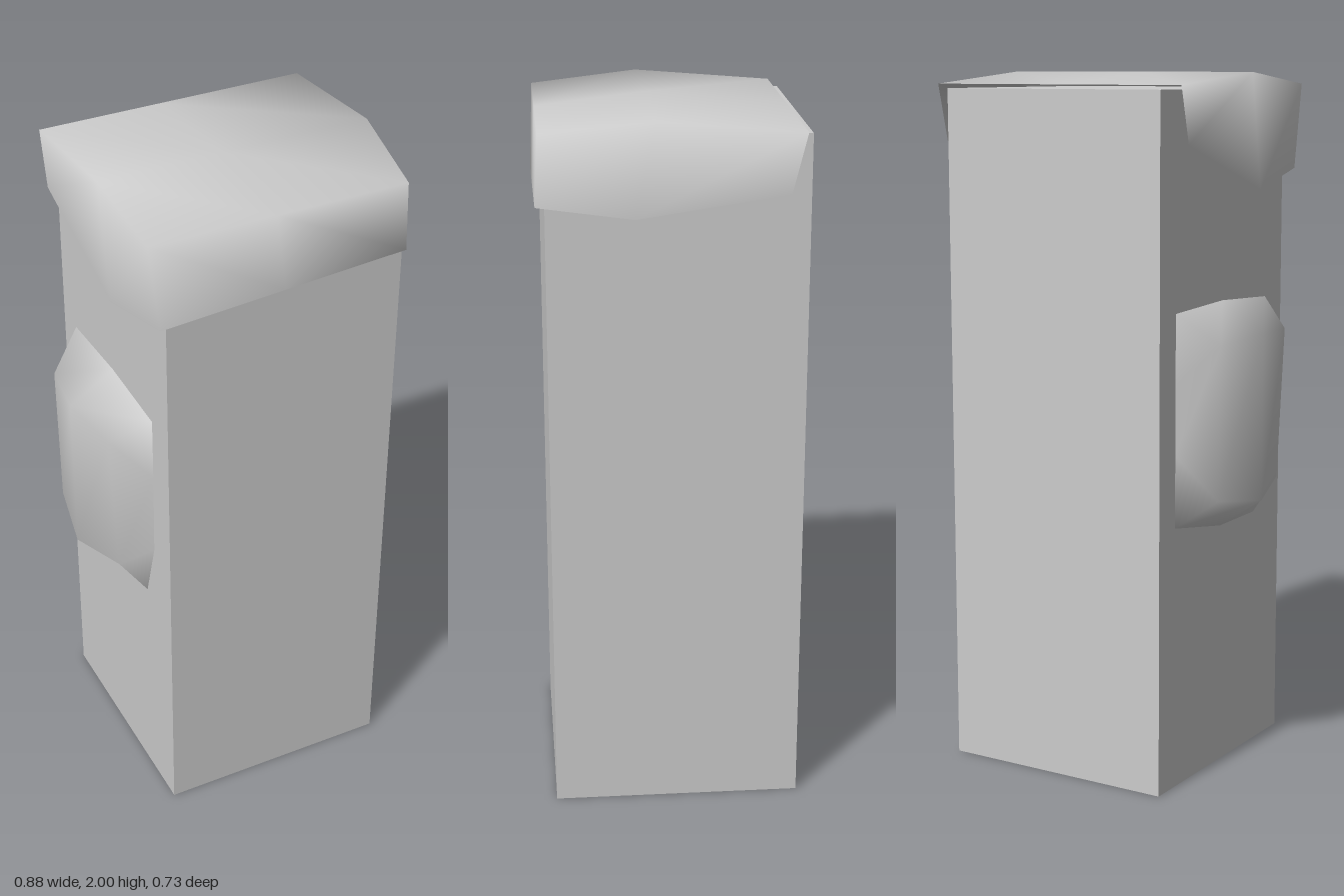
import * as THREE from 'three';
import { mergeVertices } from 'three/addons/utils/BufferGeometryUtils.js';

const grey = new THREE.MeshStandardMaterial({ color: 0xcccccc, side: THREE.DoubleSide });

// Smooth sheet through rows of points, all rows of equal length
function sheet(name, rows) {
  const n = rows[0].length;
  const index = [];
  for (let i = 0; i < rows.length - 1; i++) {
    for (let j = 0; j < n - 1; j++) {
      const a = i * n + j, b = a + n;
      index.push(a, b, b + 1, a, b + 1, a + 1);
    }
  }
  let geometry = new THREE.BufferGeometry();
  geometry.setAttribute('position', new THREE.Float32BufferAttribute(rows.flat(2), 3));
  geometry.setIndex(index);
  geometry = mergeVertices(geometry);
  geometry.computeVertexNormals();
  const mesh = new THREE.Mesh(geometry, grey);
  mesh.name = name;
  return mesh;
}

// Square post, hollow and open at the bottom
function makePost() {
  const height = 1.955;
  const geometry = new THREE.BoxGeometry(0.695, height, 0.705);
  const index = Array.from(geometry.index.array);
  index.splice(18, 6); // drop the bottom face
  geometry.setIndex(index);
  geometry.clearGroups();
  const post = new THREE.Mesh(geometry, grey);
  post.name = 'post';
  post.position.set(0.04, height / 2, -0.0125);
  return post;
}

// Soft cap draped over the top, the sides and the front
function makeCap() {
  // one section across the post: left hem, left edge, crown, right edge, right hem
  const section = (leftHem, rightHem, right, y, z) =>
    [leftHem, [-0.36, y, z], [0, y, z], [right, y, z], rightHem];
  const leftCorner = [-0.335, 1.72, 0.365];
  const rightCorner = [0.385, 1.77, 0.365];
  const frontHem = [leftCorner, leftCorner, [0.025, 1.745, 0.365], rightCorner, rightCorner];
  return sheet('cap', [
    section([-0.36, 1.81, -0.305], [0.435, 1.805, -0.305], 0.435, 1.967, -0.345),
    section([-0.36, 1.67, 0.105], [0.435, 1.745, 0.105], 0.435, 2, 0.05),
    section(leftCorner, rightCorner, 0.385, 1.965, 0.355),
    frontHem,
  ]);
}

// Rounded lump stuck to one side of the post, as sections from bottom to top
function makeLump() {
  const wall = -0.307;
  return sheet('sideLump', [
    [[wall, 0.755, -0.28], [wall, 0.96, -0.28], [wall, 1.16, -0.28], [wall, 1.355, -0.28]],
    [[wall, 0.755, -0.28], [-0.405, 0.83, -0.21], [-0.41, 1.265, -0.21], [wall, 1.355, -0.28]],
    [[wall, 0.71, -0.02], [-0.44, 0.8, -0.02], [-0.44, 1.28, -0.02], [wall, 1.365, -0.02]],
    [[wall, 0.71, 0.18], [-0.39, 0.83, 0.17], [-0.41, 1.27, 0.17], [wall, 1.35, 0.24]],
    [[wall, 0.71, 0.18], [wall, 0.9, 0.235], [wall, 1.16, 0.24], [wall, 1.35, 0.24]],
  ]);
}

export function createModel() {
  const model = new THREE.Group();
  model.name = 'cappedPost';
  model.add(makePost(), makeCap(), makeLump());
  return model;
}
